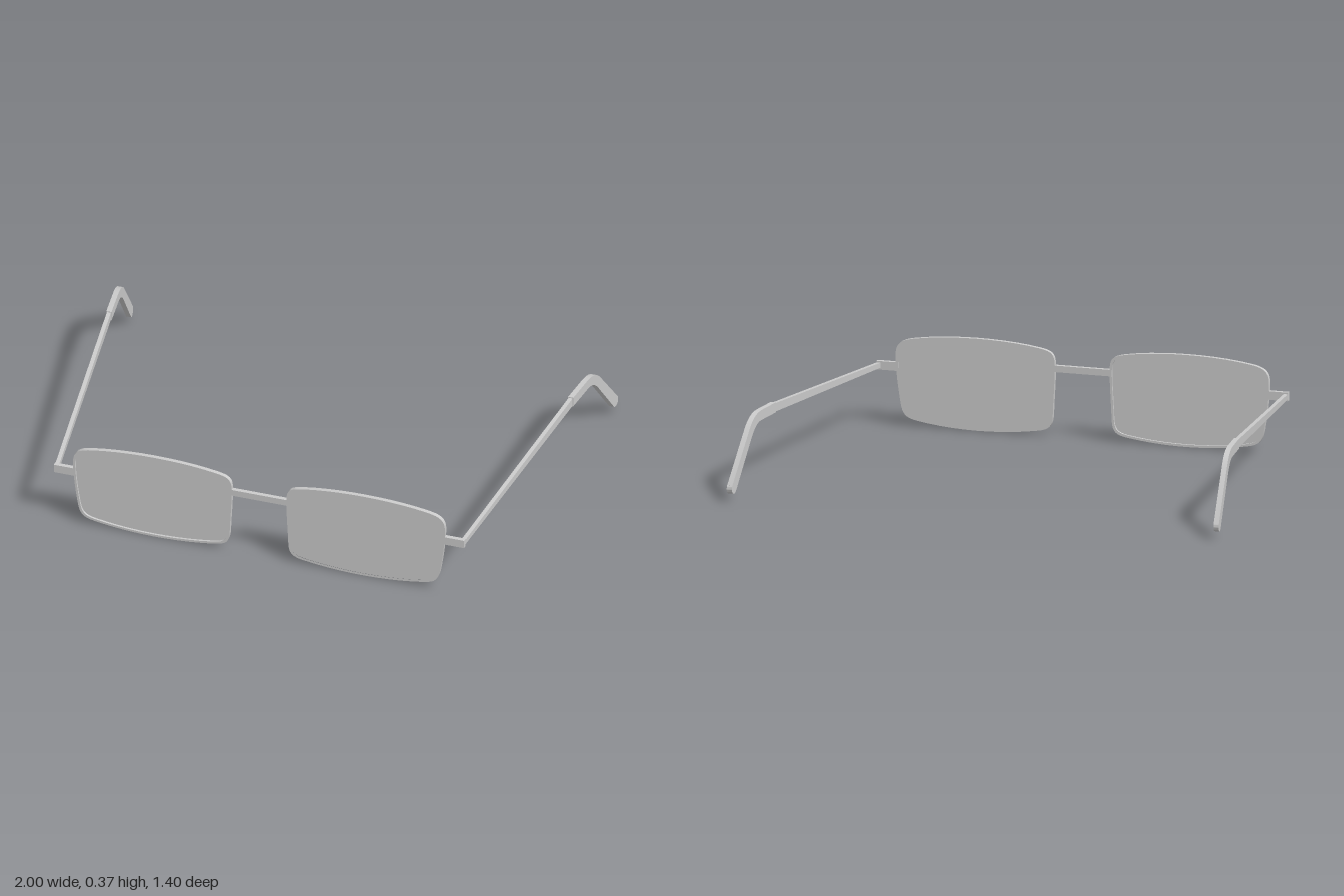
import * as THREE from 'three';
import { toCreasedNormals } from 'three/addons/utils/BufferGeometryUtils.js';

const material = new THREE.MeshStandardMaterial({ color: 0xcccccc });
const lensMaterial = new THREE.MeshStandardMaterial({ color: 0xcccccc, side: THREE.DoubleSide });
const FRONT = 0.7, DEPTH = 0.017;

function addMesh(group, name, geometry, mat = material) {
  const mesh = new THREE.Mesh(geometry, mat);
  mesh.name = name;
  group.add(mesh);
  return mesh;
}

function addBar(group, name, x0, x1, y0, y1) {
  const bar = addMesh(group, name, new THREE.BoxGeometry(x1 - x0, y1 - y0, DEPTH));
  bar.position.set((x0 + x1) / 2, (y0 + y1) / 2, FRONT - DEPTH / 2);
}

// Rounded, slightly bowed lens outline; side mirrors it, inset shrinks it
function lensOutline(side, inset) {
  const cx = 0.435, cy = 0.183;
  const kx = 1 - inset / 0.325, ky = 1 - inset / 0.183;
  const p = (x, y) => [side * (cx + (x - cx) * kx), cy + (y - cy) * ky];
  const s = new THREE.Shape();
  s.moveTo(...p(0.111, 0.28));
  s.bezierCurveTo(...p(0.111, 0.33), ...p(0.125, 0.338), ...p(0.175, 0.347));
  s.bezierCurveTo(...p(0.32, 0.372), ...p(0.53, 0.372), ...p(0.68, 0.347));
  s.bezierCurveTo(...p(0.735, 0.338), ...p(0.759, 0.325), ...p(0.757, 0.27));
  s.bezierCurveTo(...p(0.755, 0.2), ...p(0.745, 0.14), ...p(0.738, 0.095));
  s.bezierCurveTo(...p(0.73, 0.045), ...p(0.72, 0.03), ...p(0.67, 0.021));
  s.bezierCurveTo(...p(0.52, -0.007), ...p(0.34, -0.007), ...p(0.19, 0.017));
  s.bezierCurveTo(...p(0.13, 0.025), ...p(0.121, 0.04), ...p(0.119, 0.09));
  s.bezierCurveTo(...p(0.117, 0.15), ...p(0.111, 0.22), ...p(0.111, 0.28));
  return s;
}

// Extrudes a (z, y) side profile and splays it outward toward the back
function armGeometry(shape, thickness, side) {
  const g = new THREE.ExtrudeGeometry(shape, { depth: thickness, bevelEnabled: false, curveSegments: 10 });
  g.translate(0, 0, -thickness / 2);
  g.rotateY(-Math.PI / 2);
  const pos = g.attributes.position;
  for (let i = 0; i < pos.count; i++) {
    pos.setX(i, pos.getX(i) + side * (0.826 + 0.116 * (0.69 - pos.getZ(i))));
  }
  return toCreasedNormals(g, 0.6);
}

export function createModel() {
  const model = new THREE.Group();
  model.name = 'eyeglasses';

  // Slim temple arm, tapering toward the hinge
  const arm = new THREE.Shape([
    [0.69, 0.22], [0.69, 0.24], [-0.3, 0.302], [-0.3, 0.268],
  ].map(([z, y]) => new THREE.Vector2(z, y)));

  // Ear tip: straight, bent down, with a rounded end
  const tip = new THREE.Shape();
  tip.moveTo(-0.29, 0.305);
  tip.lineTo(-0.42, 0.305);
  tip.bezierCurveTo(-0.47, 0.303, -0.505, 0.288, -0.54, 0.245);
  tip.lineTo(-0.694, 0.064);
  tip.absarc(-0.676, 0.051, 0.022, 2.52, 5.66, false);
  tip.lineTo(-0.515, 0.215);
  tip.bezierCurveTo(-0.48, 0.255, -0.455, 0.265, -0.42, 0.265);
  tip.lineTo(-0.29, 0.265);

  for (const side of [-1, 1]) {
    const label = side > 0 ? 'left' : 'right';

    // Thin rim with the lens seated halfway through it
    const ring = lensOutline(side, 0);
    ring.holes.push(lensOutline(side, 0.009));
    const rim = new THREE.ExtrudeGeometry(ring, { depth: DEPTH, bevelEnabled: false, curveSegments: 10 });
    addMesh(model, label + 'Rim', toCreasedNormals(rim, 0.6)).position.z = FRONT - DEPTH;
    const lens = new THREE.ShapeGeometry(lensOutline(side, 0.004), 10);
    addMesh(model, label + 'Lens', lens, lensMaterial).position.z = FRONT - DEPTH / 2;

    // Hinge tab, temple and ear tip
    const [a, b] = [side * 0.747, side * 0.835];
    addBar(model, label + 'Hinge', Math.min(a, b), Math.max(a, b), 0.213, 0.247);
    addMesh(model, label + 'Temple', armGeometry(arm, 0.016, side));
    addMesh(model, label + 'EarTip', armGeometry(tip, 0.021, side));
  }

  // Nose bridge
  addBar(model, 'bridge', -0.115, 0.115, 0.257, 0.283);
  return model;
}
